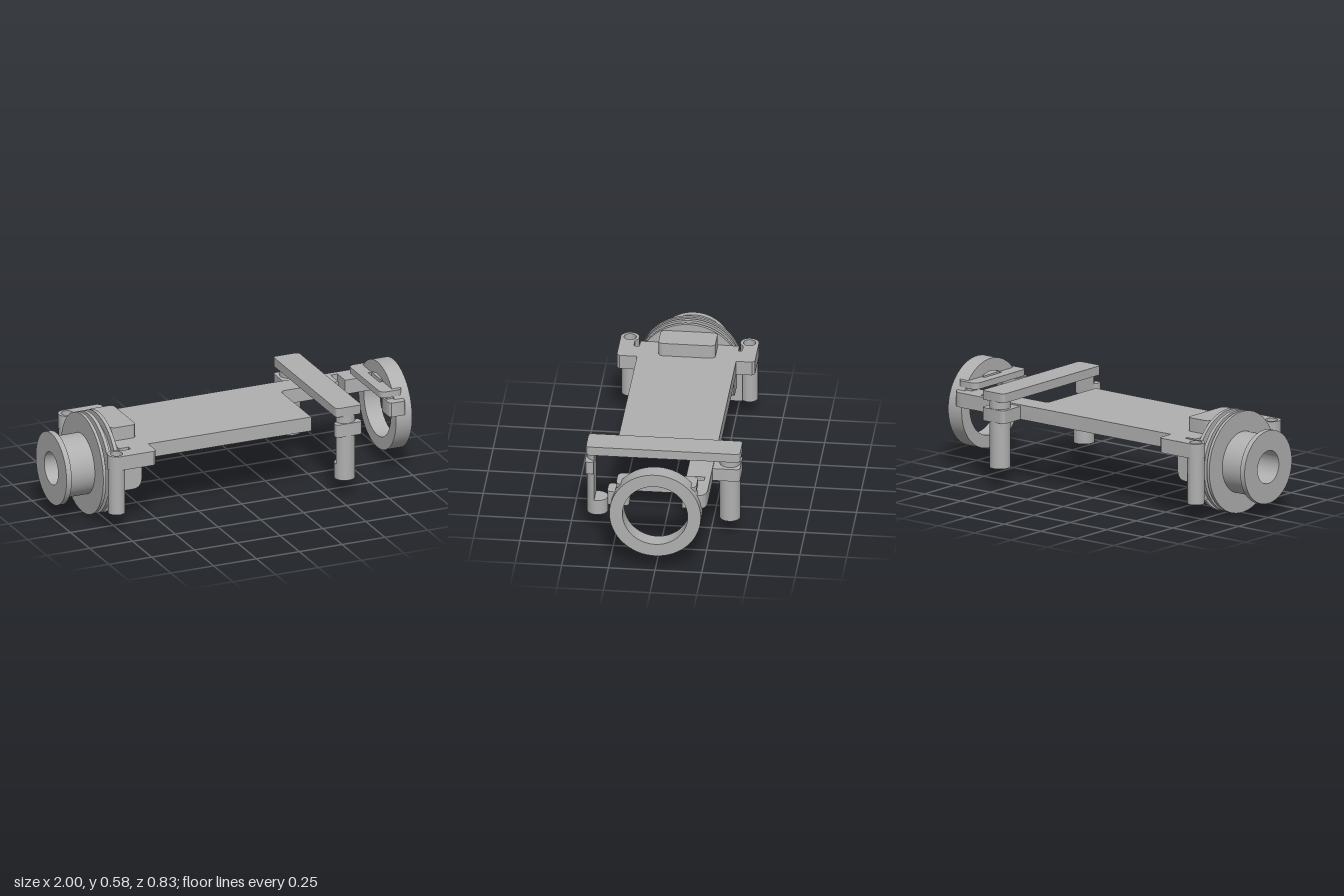
import * as THREE from 'three';
import { toCreasedNormals } from 'three/addons/utils/BufferGeometryUtils.js';

const grey = new THREE.MeshStandardMaterial({ color: 0xb0b0b0 });
grey.name = 'plain grey';

export function createModel() {
  const root = new THREE.Group();
  root.name = 'plateHolder';

  const add = (name, geo) => {
    const mesh = new THREE.Mesh(toCreasedNormals(geo, 0.6), grey);
    mesh.name = name;
    root.add(mesh);
    return mesh;
  };

  // Horizontal slab from y0 to y1; its outline is drawn as x, -z
  const slab = (name, shape, y0, y1) => {
    const geo = new THREE.ExtrudeGeometry(shape, { depth: y1 - y0, bevelEnabled: false, curveSegments: 16 });
    geo.rotateX(-Math.PI / 2);
    geo.translate(0, y0, 0);
    return add(name, geo);
  };
  const outline = (pts) => new THREE.Shape(pts.map(([x, z]) => new THREE.Vector2(x, -z)));

  // Rectangle in x and z with rounded corners
  const rounded = (x0, x1, z0, z1, r) => {
    const s = new THREE.Shape();
    const a = -z1, b = -z0;
    s.moveTo(x0 + r, a);
    s.lineTo(x1 - r, a);
    s.absarc(x1 - r, a + r, r, -Math.PI / 2, 0);
    s.absarc(x1 - r, b - r, r, 0, Math.PI / 2);
    s.absarc(x0 + r, b - r, r, Math.PI / 2, Math.PI);
    s.absarc(x0 + r, a + r, r, Math.PI, Math.PI * 1.5);
    return s;
  };

  const lathe = (pts, segments) =>
    new THREE.LatheGeometry(pts.map(([r, y]) => new THREE.Vector2(r, y)), segments);

  // Turned part along x, profile given as radius, x
  const turnedX = (name, pts, y) => {
    const geo = lathe(pts, 72);
    geo.rotateZ(-Math.PI / 2);
    geo.translate(0, y, 0);
    return add(name, geo);
  };
  // Turned part along y, profile given as radius, y
  const turnedY = (name, pts, x, z) => {
    const geo = lathe(pts, 36);
    geo.translate(x, 0, z);
    return add(name, geo);
  };
  const box = (name, x0, x1, y0, y1, z0, z1) => {
    const geo = new THREE.BoxGeometry(x1 - x0, y1 - y0, z1 - z0);
    geo.translate((x0 + x1) / 2, (y0 + y1) / 2, (z0 + z1) / 2);
    return add(name, geo);
  };

  // Main plate with a narrow arm along the back, notched near its end
  const plate = outline([[-0.72, 0.26], [0.4, 0.265], [0.4, -0.11]]);
  plate.quadraticCurveTo(0.4, 0.14, 0.43, 0.14);
  for (const [x, z] of [[0.74, -0.14], [0.74, -0.24], [0.78, -0.24], [0.78, -0.14], [0.95, -0.14], [0.95, -0.23]]) {
    plate.lineTo(x, -z);
  }
  plate.quadraticCurveTo(0.94, 0.27, 0.88, 0.27);
  plate.lineTo(-0.72, 0.27);
  slab('mainPlate', plate, 0.36, 0.44);

  // Spool: end disc, barrel, grooved flange and inner hub with a through hole
  turnedX('spool', [
    [0.09, -1], [0.2, -1], [0.2, -0.97], [0.167, -0.97], [0.167, -0.82],
    [0.277, -0.82], [0.277, -0.803], [0.235, -0.803], [0.235, -0.785],
    [0.277, -0.785], [0.277, -0.765], [0.235, -0.765], [0.235, -0.74],
    [0.277, -0.74], [0.277, -0.72], [0.18, -0.72], [0.18, -0.64],
    [0.09, -0.64], [0.09, -1],
  ], 0.278);

  // Blocks above and below the plate against the spool
  slab('upperBlock', rounded(-0.715, -0.57, -0.155, 0.15, 0.025), 0.43, 0.515);
  const lower = new THREE.Shape();
  lower.moveTo(-0.72, 0.365);
  lower.lineTo(-0.72, 0.192);
  lower.lineTo(-0.635, 0.192);
  lower.quadraticCurveTo(-0.585, 0.195, -0.585, 0.25);
  lower.lineTo(-0.585, 0.365);
  const lowerGeo = new THREE.ExtrudeGeometry(lower, { depth: 0.51, bevelEnabled: false, curveSegments: 12 });
  lowerGeo.translate(0, 0, -0.255);
  add('lowerBlock', lowerGeo);

  // Side brackets with hollow posts beside the flange
  for (const s of [1, -1]) {
    const pts = [[-0.725, 0.29], [-0.665, 0.29], [-0.665, 0.25], [-0.55, 0.25], [-0.55, 0.355], [-0.565, 0.37], [-0.765, 0.37], [-0.725, 0.345]];
    const shape = outline(pts.map(([x, z]) => [x, z * s]));
    slab('sideBracket', shape, 0.36, 0.44);
    turnedY('bracketPost', [
      [0.033, 0.44], [0.033, 0.105], [0.046, 0.105], [0.046, 0.36],
      [0.05, 0.36], [0.05, 0.44], [0.033, 0.44],
    ], -0.763, 0.32 * s);
    const z = [0.2 * s, 0.285 * s].sort((a, b) => a - b);
    box('postWeb', -0.765, -0.722, 0.105, 0.36, z[0], z[1]);
  }

  // Cross bar with a complete post at the back
  const px = 0.553, pz = 0.355, pr = 0.056;
  const post = (top) => [[0, 0.16], [0.027, 0.16], [0.027, 0.105], [pr, 0.105], [pr, top], [0, top]];
  slab('crossBar', rounded(0.48, 0.63, -0.415, 0.41, 0.02), 0.475, 0.525);
  turnedY('backPost', post(0.476), px, -pz);
  slab('backCollar', rounded(0.48, 0.63, -0.415, -0.25, 0.02), 0.36, 0.432);

  // Front post, cut away on its inner side so the plate edge can clear it
  turnedY('frontPostFoot', post(0.19), px, pz);
  const cut = Math.asin(0.013 / pr);
  const segment = new THREE.Shape();
  segment.absarc(px, -pz, pr, Math.PI + cut, Math.PI * 2 - cut);
  slab('frontPostHalf', segment, 0.19, 0.476);
  slab('frontCollar', rounded(0.48, 0.63, 0.368, 0.416, 0.015), 0.36, 0.432);

  // Upright ring at the end
  turnedX('endRing', [
    [0.175, 0.905], [0.245, 0.905], [0.245, 0.998], [0.175, 0.998], [0.175, 0.905],
  ], 0.332);

  // Slotted clip over the ring and its two side arms
  const clip = rounded(0.83, 0.96, -0.215, 0.215, 0.035);
  clip.holes.push(new THREE.Path(
    [[0.885, -0.07], [0.905, -0.07], [0.905, 0.075], [0.885, 0.075]].map(([x, y]) => new THREE.Vector2(x, y))));
  slab('ringClip', clip, 0.455, 0.49);
  slab('frontClipArm', rounded(0.86, 0.955, 0.145, 0.262, 0.02), 0.36, 0.44);
  for (const s of [1, -1]) {
    const z = [0.15 * s, 0.2 * s].sort((a, b) => a - b);
    box('clipLink', 0.87, 0.94, 0.43, 0.46, z[0], z[1]);
  }

  return root;
}
